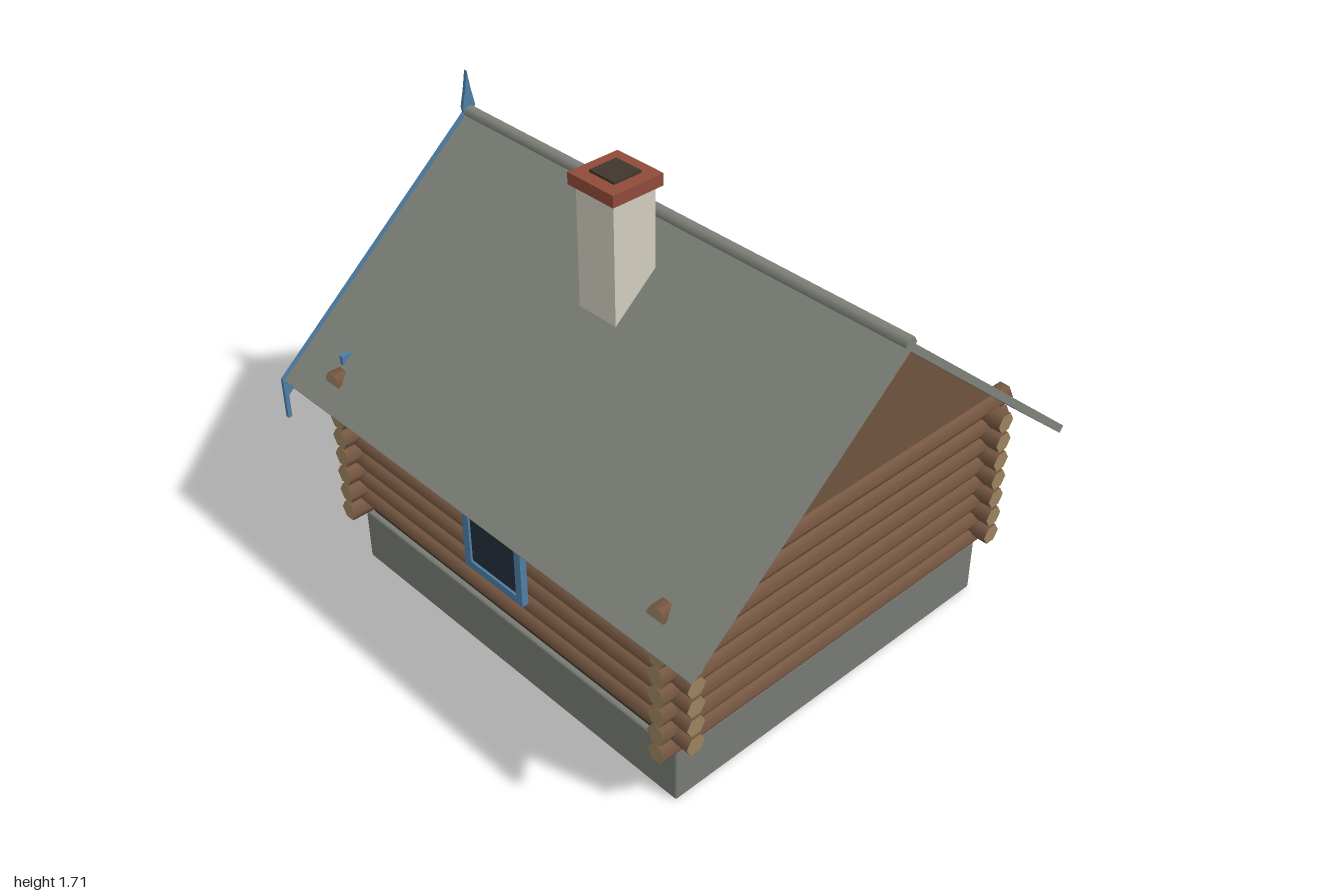
import * as THREE from 'three';
import { RoundedBoxGeometry } from 'three/addons/geometries/RoundedBoxGeometry.js';

const mat = (name, color, side = THREE.FrontSide) => {
  const m = new THREE.MeshStandardMaterial({ color, side });
  m.name = name;
  return m;
};

export function createModel() {
  const M = {
    roof: mat('roof grey', 0x80837b),
    stone: mat('foundation grey', 0x787b74),
    log: mat('log brown', 0x775842),
    end: mat('cut wood tan', 0x9c8560),
    board: mat('board brown', 0x70543f),
    chink: mat('dark brown', 0x41362c),
    blue: mat('trim blue', 0x4f7fa6),
    cream: mat('plaster cream', 0xd2cec0),
    brick: mat('brick red', 0x8f4a39),
    glass: mat('window glass', 0x232f3a),
  };

  const house = new THREE.Group();
  house.name = 'logHouse';
  house.position.x = 0.005;

  const add = (parent, name, geo, material, x = 0, y = 0, z = 0) => {
    const mesh = new THREE.Mesh(geo, material);
    mesh.name = name;
    mesh.position.set(x, y, z);
    parent.add(mesh);
    return mesh;
  };
  const box = (parent, name, size, material, x, y, z) =>
    add(parent, name, new THREE.BoxGeometry(...size), material, x, y, z);
  const shapeOf = (pts) => new THREE.Shape(pts.map(([a, b]) => new THREE.Vector2(a, b)));
  const extrude = (shape, depth) =>
    new THREE.ExtrudeGeometry(shape, { depth, bevelEnabled: false });
  // Extrudes a (z, y) profile along x, between x0 and x1
  const extrudeX = (pts, x0, x1) =>
    extrude(shapeOf(pts), x1 - x0).rotateY(-Math.PI / 2).translate(x1, 0, 0);
  // Completes a half profile with its mirror image
  const mirrored = (half) =>
    [...half, ...half.slice().reverse().filter(([z]) => z > 0).map(([z, y]) => [-z, y])];

  // Foundation and the core behind the logs
  add(house, 'foundation', new RoundedBoxGeometry(1.6, 0.21, 1.44, 1, 0.008), M.stone, 0, 0.105, 0);
  box(house, 'wallCore', [1.55, 0.64, 1.4], M.chink, 0, 0.52, 0);

  // Hexagonal logs, the two directions staggered by half a step
  const step = 0.079, r = 0.038;
  const logMats = [M.log, M.end, M.end];
  const longLog = new THREE.CylinderGeometry(r, r, 1.745, 6).rotateZ(Math.PI / 2);
  const crossLog = new THREE.CylinderGeometry(r, r, 1.59, 6, 1, false, Math.PI / 6).rotateX(Math.PI / 2);
  for (const s of [-1, 1]) {
    for (let i = 0; i < 7; i++) add(house, 'longLog', longLog, logMats, 0, 0.293 + i * step, s * 0.708);
    for (let i = 0; i < 8; i++) add(house, 'crossLog', crossLog, logMats, s * 0.79, 0.255 + i * step, 0);
  }

  // Gables and roof
  add(house, 'gables', extrudeX([[-0.72, 0.84], [0.72, 0.84], [0, 1.452]], -0.8, 0.8), M.board);
  add(house, 'roof', extrudeX([
    [0, 1.475], [-0.86, 0.745], [-0.845, 0.722], [0, 1.442], [0.845, 0.722], [0.86, 0.745],
  ], -0.993, 0.993), M.roof);
  add(house, 'ridgeCap', new THREE.CylinderGeometry(0.024, 0.024, 1.986, 6).rotateZ(Math.PI / 2),
    M.roof, 0, 1.466, 0);

  // Bargeboards with hanging ends and a finial
  add(house, 'bargeboard', extrudeX(mirrored([
    [0, 1.4], [0.85, 0.68], [0.85, 0.59], [0.865, 0.59], [0.865, 0.748],
    [0.022, 1.468], [0.026, 1.49], [0.012, 1.55], [0, 1.62],
  ]), -1.005, -0.991), M.blue);
  box(house, 'gableBand', [0.016, 0.04, 1.48], M.blue, -0.806, 0.862, 0);

  // Chimney
  const cz = 0.212;
  box(house, 'chimney', [0.168, 0.56, 0.17], M.cream, 0, 1.38, cz);
  box(house, 'chimneyCap', [0.204, 0.042, 0.204], M.brick, 0, 1.676, cz);
  box(house, 'chimneyFlue', [0.11, 0.01, 0.11], M.chink, 0, 1.701, cz);

  // Bench beam along the decorated gable wall
  box(house, 'bench', [0.075, 0.13, 1.24], M.board, -0.867, 0.18, 0);

  // Window facing +z, with its origin at the middle of the bottom edge
  const makeWindow = (name, { w, h, t = 0.03, depth = 0.025, muntins, shutters, pediment = 0 }) => {
    const g = new THREE.Group();
    g.name = name;
    const frame = shapeOf([[-w / 2, 0], [w / 2, 0], [w / 2, h], [-w / 2, h]]);
    const a = w / 2 - t;
    frame.holes.push(new THREE.Path(
      [[-a, t], [-a, h - t], [a, h - t], [a, t]].map(([x, y]) => new THREE.Vector2(x, y))));
    add(g, 'windowFrame', extrude(frame, depth), M.blue);
    box(g, 'windowGlass', [w - 2 * t, h - 2 * t, 0.008], M.glass, 0, h / 2, depth * 0.5);
    if (muntins) {
      box(g, 'uprightBar', [0.012, h - 2 * t, 0.008], M.cream, 0, h / 2, depth * 0.7);
      for (let i = 1; i <= muntins; i++)
        box(g, 'crossBar', [w - 2 * t, 0.012, 0.008], M.cream, 0,
          t + (h - 2 * t) * (muntins === 1 ? 0.6 : i / (muntins + 1)), depth * 0.7);
    }
    if (pediment) {
      const p = w / 2 + 0.015;
      add(g, 'pediment', extrude(shapeOf([
        [-p, h - 0.015], [p, h - 0.015], [p, h + 0.015], [w * 0.25, h + 0.025],
        [0, h + pediment], [-w * 0.25, h + 0.025], [-p, h + 0.015],
      ]), depth + 0.01), M.blue);
      box(g, 'windowSill', [w + 0.03, 0.025, depth + 0.015], M.blue, 0, 0, (depth + 0.015) / 2);
    }
    if (shutters) {
      for (const s of [-1, 1]) {
        const x = s * (w / 2 + 0.058);
        box(g, 'shutter', [0.116, 0.31, 0.02], M.blue, x, 0.215, 0.01);
        box(g, 'shutterPanel', [0.062, 0.24, 0.006], M.cream, x, 0.215, 0.022);
      }
    }
    house.add(g);
    return g;
  };

  makeWindow('frontWindow', { w: 0.29, h: 0.38 }).position.set(0, 0.4, 0.744);

  for (const s of [-1, 1]) {
    const win = makeWindow('shutteredWindow', { w: 0.3, h: 0.41, muntins: 1, shutters: true, pediment: 0.07 });
    win.rotation.y = -Math.PI / 2;
    win.position.set(-0.827, 0.345, s * 0.37);
  }
  const attic = makeWindow('atticWindow', { w: 0.24, h: 0.18, t: 0.028, depth: 0.02, muntins: 1, pediment: 0.07 });
  attic.rotation.y = -Math.PI / 2;
  attic.position.set(-0.799, 0.93, 0);

  const model = new THREE.Group();
  model.name = 'logCabin';
  model.add(house);
  return model;
}
